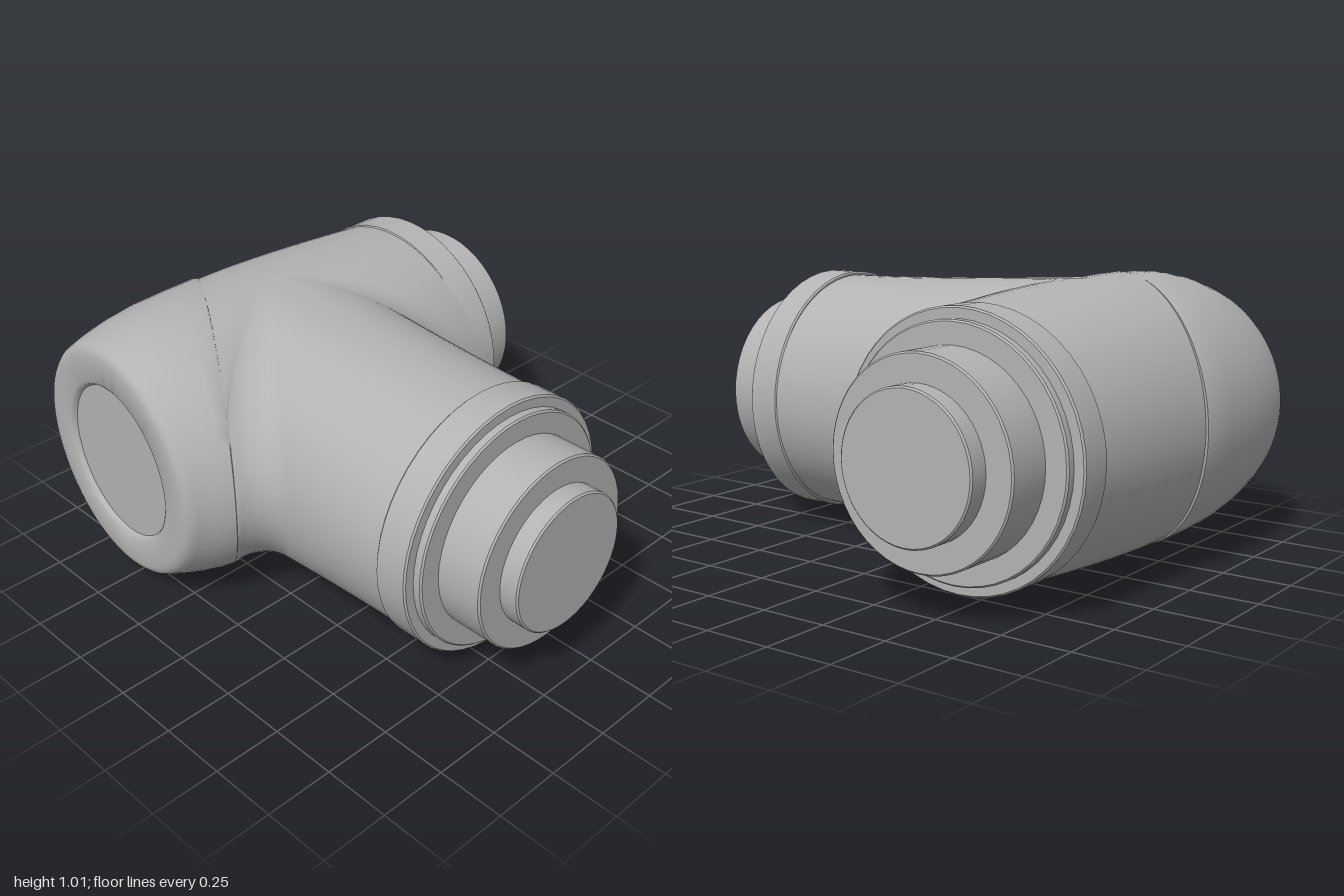
import * as THREE from 'three';
import { toCreasedNormals } from 'three/addons/utils/BufferGeometryUtils.js';

const CY = 0.505;          // height of both axes
const AX = -0.48;          // x of the main axis (runs along z)
const AZ = 0.16;           // z of the branch axis (runs along x)
const lerp = THREE.MathUtils.lerp;
const seamZ = (x) => 0.11 + 0.614 * (x + 1); // slanted joint between body and cap

// Surface from a rule f(i, j) -> [x, y, z]
function gridSurface(nu, nv, f, flip = false) {
  const pos = [], idx = [];
  for (let i = 0; i <= nu; i++) for (let j = 0; j <= nv; j++) pos.push(...f(i, j));
  for (let i = 0; i < nu; i++) for (let j = 0; j < nv; j++) {
    const a = i * (nv + 1) + j, b = a + nv + 1;
    if (flip) idx.push(a, a + 1, b, b, a + 1, b + 1);
    else idx.push(a, b, a + 1, b, b + 1, a + 1);
  }
  const g = new THREE.BufferGeometry();
  g.setAttribute('position', new THREE.Float32BufferAttribute(pos, 3));
  g.setIndex(idx);
  g.computeVertexNormals();
  return g;
}

// Gentle taper of each tube towards its collar
const dropZ = (z) => 0.04 * Math.pow(Math.max(0, 0.3 - z) / 0.77, 1.5);
const dropX = (x) => 0.045 * (1 - Math.pow(THREE.MathUtils.clamp((0.6 - x) / 1.08, 0, 1), 1.5));

// Plan outline of one inner corner (side -1 back, +1 front); c = 0 gives the axis lines
const LEG = 14, ARC = 16;
function cornerOutline(side, i, c) {
  const r = side > 0 ? 0.49 : 0.47, fx = 0.64 - r, fz = 0.17;
  const ox = AX + 0.64 * c, oz = AZ + side * 0.635 * c;
  let x, z;
  if (i <= LEG) {
    x = lerp(0.62, ox, i / LEG);
    z = AZ + side * 0.465 * c;
  } else if (i <= LEG + ARC) {
    const a = ((i - LEG) / ARC) * Math.PI / 2;
    x = ox - fx * c * Math.sin(a);
    z = oz - side * fz * c * Math.cos(a);
  } else {
    x = AX + r * c;
    z = lerp(oz, side > 0 ? seamZ(x) : -0.52, (i - LEG - ARC) / LEG);
  }
  return [x, side > 0 ? Math.min(z, seamZ(x)) : z];
}

// Plan outline of the plain outer wall
function outerOutline(i, c) {
  const t = i / 30;
  const z0 = lerp(-0.52, seamZ(AX - 0.5 * c), t);
  return [AX - (0.505 - dropZ(z0)) * c, z0];
}

// Wrap an outline over the tube from bottom to top
function wall(n, outline, flip) {
  const NV = 40;
  return gridSurface(n, NV, (i, j) => {
    const phi = (j / NV - 0.5) * Math.PI;
    const c = j === 0 || j === NV ? 0 : Math.cos(phi);
    const [x, z] = outline(i, c);
    const [sx, sz] = outline(i, 0);
    const R = 0.505 - dropZ(sz) - (sx > AX + 1e-4 ? dropX(sx) : 0);
    return [x, CY + R * Math.sin(phi), z];
  }, flip);
}

// Stepped end fitting: [name, start, end, radius] along the axis
const STEPS = [
  ['collar', 0, 0.13, 0.47],
  ['stepRing', 0.11, 0.163, 0.43],
  ['plug', 0.15, 0.337, 0.35],
  ['tip', 0.32, 0.41, 0.253],
];
function endFitting(name, material) {
  const group = new THREE.Group();
  group.name = name;
  for (const [part, y0, y1, r] of STEPS) {
    const b = 0.006;
    const pts = [[0, y0], [r - b, y0], [r, y0 + b], [r, y1 - b], [r - b, y1], [0, y1]]
      .map(([x, y]) => new THREE.Vector2(x, y));
    const mesh = new THREE.Mesh(toCreasedNormals(new THREE.LatheGeometry(pts, 48), 0.5), material);
    mesh.name = part;
    group.add(mesh);
  }
  return group;
}

export function createModel() {
  const model = new THREE.Group();
  model.name = 'jointHousing';
  const grey = new THREE.MeshStandardMaterial({ color: 0xb3b3b3 });
  grey.name = 'grey';
  grey.side = THREE.DoubleSide;

  // Tee-shaped body with filleted corners
  const body = new THREE.Group();
  body.name = 'body';
  const n = LEG * 2 + ARC;
  const walls = {
    outerWall: wall(30, outerOutline, false),
    backCornerWall: wall(n, (i, c) => cornerOutline(-1, i, c), false),
    frontCornerWall: wall(n, (i, c) => cornerOutline(1, i, c), true),
  };
  for (const [name, geometry] of Object.entries(walls)) {
    const mesh = new THREE.Mesh(geometry, grey);
    mesh.name = name;
    body.add(mesh);
  }
  model.add(body);

  // Front cap: tilted oval sections [centre x, centre z, slope, half width, half height]
  const sections = [
    [-0.49, 0.423, 0.614, 0.42, 0.42],
    [-0.49, 0.423, 0.614, 0.505, 0.503],
    [-0.492, 0.434, 0.594, 0.508, 0.505],
    [-0.497, 0.53, 0.46, 0.5, 0.502],
    [-0.506, 0.63, 0.33, 0.487, 0.494],
    [-0.509, 0.72, 0.21, 0.471, 0.478],
    [-0.508, 0.785, 0.13, 0.456, 0.459],
    [-0.506, 0.823, 0.085, 0.445, 0.446],
    [-0.506, 0.84, 0.065, 0.437, 0.437],
    [-0.506, 0.851, 0.06, 0.425, 0.425],
    [-0.506, 0.856, 0.06, 0.405, 0.405],
    [-0.5, 0.857, 0.06, 0.305, 0.305],
    [-0.5, 0.852, 0.06, 0.297, 0.297],
    [-0.5, 0.838, 0.06, 0.288, 0.288],
    [-0.5, 0.838, 0.06, 0, 0],
  ];
  const NT = 72;
  const capGeometry = gridSurface(sections.length - 1, NT, (i, j) => {
    const [xc, zc, slope, a, b] = sections[i];
    const th = -(j % NT) / NT * Math.PI * 2;
    const dx = a * Math.cos(th);
    return [xc + dx, CY + b * Math.sin(th), zc + slope * dx];
  });
  const cap = new THREE.Mesh(toCreasedNormals(capGeometry, 0.6), grey);
  cap.name = 'frontCap';
  model.add(cap);

  // Fittings on the side branch and at the back
  const side = endFitting('sideFitting', grey);
  side.rotation.z = -Math.PI / 2;
  side.position.set(0.582, CY, AZ);
  const back = endFitting('backFitting', grey);
  back.rotation.x = -Math.PI / 2;
  back.position.set(AX, CY, -0.472);
  model.add(side, back);
  return model;
}
